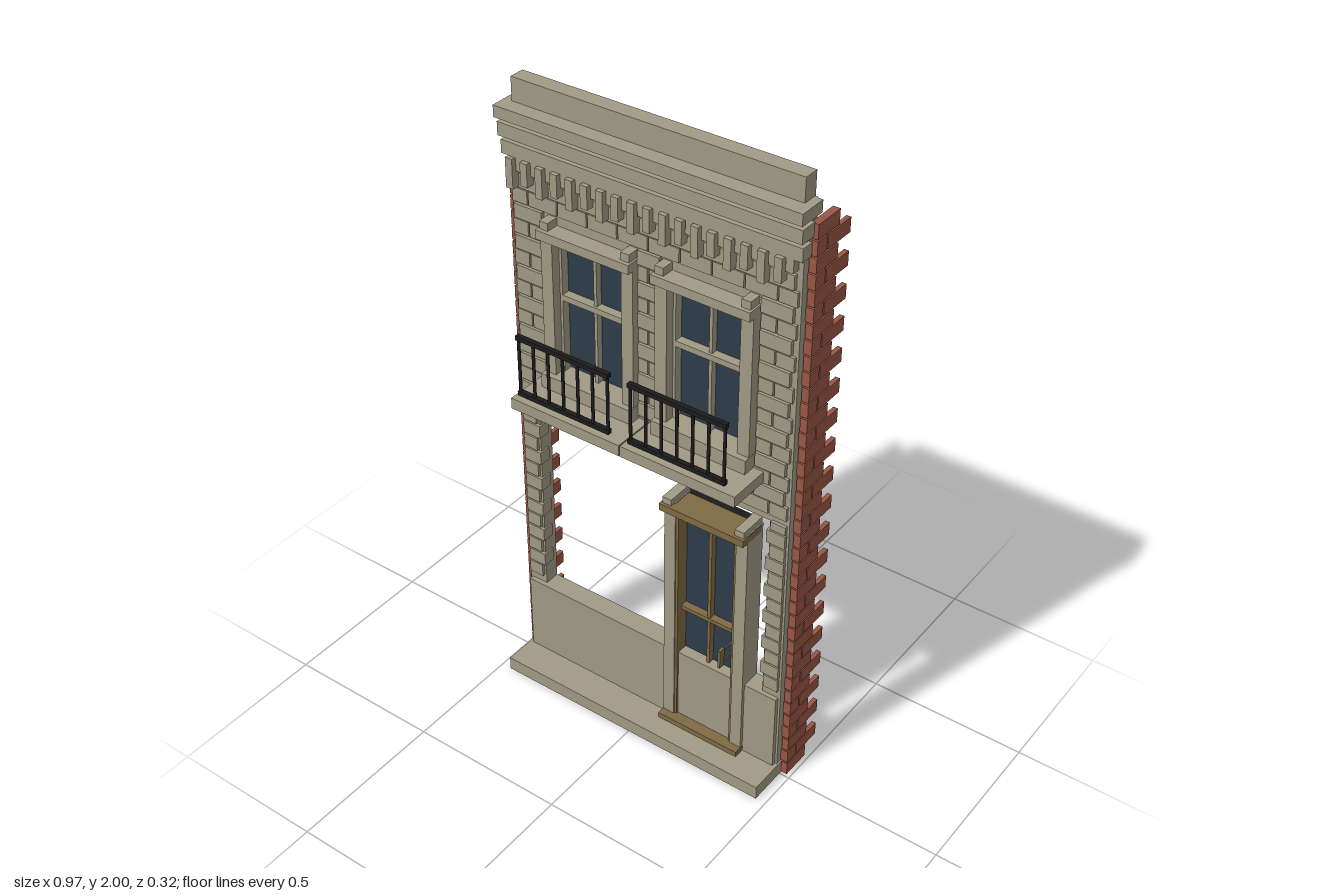
import * as THREE from 'three';

const mat = (name, color) => {
  const m = new THREE.MeshStandardMaterial({ color });
  m.name = name;
  return m;
};

export function createModel() {
  const stone = mat('stone', 0xa09a85), brick = mat('brick', 0x985645), wood = mat('wood', 0x806a45);
  const glass = mat('glass', 0x2d3b48), iron = mat('black iron', 0x1c1c1c);
  const root = new THREE.Group();
  root.name = 'townhouseFacade';

  const group = (name, x = 0) => {
    const g = new THREE.Group();
    g.name = name;
    g.position.x = x;
    root.add(g);
    return g;
  };
  // Box given by its limits on each axis
  const box = (parent, name, m, x0, x1, y0, y1, z0, z1) => {
    const mesh = new THREE.Mesh(new THREE.BoxGeometry(x1 - x0, y1 - y0, z1 - z0), m);
    mesh.position.set((x0 + x1) / 2, (y0 + y1) / 2, (z0 + z1) / 2);
    mesh.name = name;
    parent.add(mesh);
    return mesh;
  };
  const rect = (S, x0, x1, y0, y1) => new S([[x0, y0], [x1, y0], [x1, y1], [x0, y1]].map(p => new THREE.Vector2(...p)));

  // Wall with shopfront and window openings
  const shape = rect(THREE.Shape, -0.462, 0.462, 0, 1.93);
  shape.holes.push(rect(THREE.Path, -0.4, 0.4, 0.31, 0.94));
  for (const x of [-0.19, 0.19]) shape.holes.push(rect(THREE.Path, x - 0.12, x + 0.12, 1.13, 1.58));
  const wall = new THREE.Mesh(new THREE.ExtrudeGeometry(shape, { depth: 0.05, bevelEnabled: false }), stone);
  wall.position.z = -0.04;
  wall.name = 'wall';
  root.add(wall);

  // Plinth, step, parapet and cornice courses
  const trim = group('trim');
  box(trim, 'plinth', stone, -0.455, 0.455, 0.04, 0.31, 0, 0.024);
  box(trim, 'step', stone, -0.467, 0.467, 0, 0.045, -0.03, 0.126);
  box(trim, 'parapet', stone, -0.453, 0.453, 1.92, 2, -0.042, 0.006);
  box(trim, 'cornice', stone, -0.478, 0.478, 1.895, 1.93, -0.036, 0.053);
  box(trim, 'cornice', stone, -0.455, 0.455, 1.82, 1.9, 0, 0.02);
  box(trim, 'cornice', stone, -0.475, 0.475, 1.84, 1.88, -0.01, 0.044);
  box(trim, 'cornice', stone, -0.473, 0.473, 1.785, 1.825, -0.005, 0.035);

  // Alternating long and short brackets under the cornice
  const brackets = group('brackets');
  for (let i = 0; i < 36; i++) {
    const x = -0.45 + i * 0.025, long = i % 2 === 0;
    box(brackets, 'bracket', stone, x, x + 0.023, long ? (i % 4 ? 1.715 : 1.695) : 1.745, 1.785, 0, long ? 0.048 : 0.034);
  }

  // Facing stones in running bond, clipped around the openings
  const stones = group('facingStones');
  const pitch = 0.0482, gap = 0.005;
  const course = (row, a, b) => {
    const y = row * pitch, step = 0.1;
    for (let x = -0.5 - (row % 2) * 0.05; x < b; x += step) {
      const x0 = Math.max(x, a), x1 = Math.min(x + step, b) - gap;
      if (x1 - x0 > 0.012) box(stones, 'stone', stone, x0, x1, y + gap / 2, y + pitch - gap / 2, 0, 0.019 + (row % 2) * 0.003);
    }
  };
  for (let row = 7; row < 36; row++) {
    if (row < 20) {
      // Quoins beside the shopfront
      const w = row % 2 ? 0.048 : 0.06, y0 = row * pitch + gap / 2, y1 = y0 + pitch - gap;
      if (row > 6) {
        const bottom = Math.max(y0, 0.312), top = Math.min(y1, 0.945);
        box(stones, 'quoin', stone, -0.455, -0.455 + w, bottom, top, -0.02, 0.02);
        box(stones, 'quoin', stone, 0.455 - w, 0.455, bottom, top, -0.02, 0.02);
      }
    } else if (row > 22 && row < 34) {
      course(row, -0.455, -0.345);
      course(row, -0.035, 0.04);
      course(row, 0.35, 0.46);
    } else course(row, -0.455, 0.46);
  }

  // Toothed brick returns on both sides
  const returns = group('brickReturns');
  for (const s of [-1, 1]) for (let row = 0; row < 39; row++) {
    const y0 = row * pitch + 0.002, y1 = y0 + pitch - 0.005;
    const x0 = s > 0 ? 0.463 : -0.487, x1 = x0 + 0.024;
    const bx0 = s > 0 ? 0.473 : -0.487, bx1 = bx0 + 0.014;
    if (row % 2) {
      box(returns, 'brick', brick, x0, x1, y0, y1, -0.052, -0.008);
      box(returns, 'brick', brick, bx0, bx1, y0, y1, -0.16, -0.057);
    } else box(returns, 'brick', brick, bx0 - (s > 0 ? 0.008 : 0), bx1 + (s > 0 ? 0 : 0.008), y0, y1, -0.106, -0.008);
  }

  // Windows with balcony slabs and railings
  for (const cx of [-0.19, 0.19]) {
    const w = group('window', cx);
    box(w, 'pane', glass, -0.12, 0.12, 1.125, 1.585, -0.03, -0.015);
    box(w, 'backPanel', iron, -0.134, 0.134, 1.115, 1.585, -0.055, -0.031);
    for (const s of [-1, 1]) {
      const j = s * 0.135;
      box(w, 'jamb', stone, j - 0.019, j + 0.019, 1.1, 1.6, -0.02, 0.042);
      box(w, 'headCap', stone, j - 0.014, j + 0.014, 1.6, 1.632, 0, 0.05);
      box(w, 'sashStile', stone, s * 0.114 - 0.006, s * 0.114 + 0.006, 1.13, 1.58, -0.02, 0.012);
    }
    box(w, 'head', stone, -0.155, 0.155, 1.58, 1.608, -0.02, 0.062);
    box(w, 'sill', stone, -0.155, 0.155, 1.1, 1.145, -0.02, 0.06);
    box(w, 'meetingRail', stone, -0.116, 0.116, 1.378, 1.396, -0.02, 0.012);
    box(w, 'muntin', stone, -0.005, 0.005, 1.13, 1.58, -0.02, 0.005);
    box(w, 'balconySlab', stone, -0.188, 0.188, 1.065, 1.1, -0.083, 0.155);

    const rail = group('railing', cx);
    for (const y of [1.132, 1.315]) box(rail, 'rail', iron, -0.158, 0.158, y - 0.007, y + 0.007, 0.145, 0.16);
    for (let i = 0; i < 7; i++) {
      const bar = new THREE.Mesh(new THREE.CylinderGeometry(0.0048, 0.0048, 0.19, 8), iron);
      bar.position.set(-0.152 + i * 0.0507, 1.224, 0.153);
      bar.name = 'bar';
      rail.add(bar);
    }
  }

  // Door
  const d = group('door', 0.206);
  box(d, 'pane', glass, -0.105, 0.105, 0.3, 0.86, -0.03, -0.012);
  box(d, 'backPanel', iron, -0.122, 0.122, 0.035, 0.87, -0.058, -0.031);
  for (const s of [-1, 1]) {
    const j = s * 0.122;
    box(d, 'jamb', stone, j - 0.019, j + 0.019, 0.06, 0.876, -0.04, 0.035);
    box(d, 'headCap', stone, j - 0.015, j + 0.015, 0.87, 0.893, -0.04, 0.05);
    box(d, 'stile', wood, s * 0.1 - 0.005, s * 0.1 + 0.005, 0.06, 0.86, -0.02, 0.031);
  }
  box(d, 'lintel', wood, -0.142, 0.142, 0.85, 0.873, -0.03, 0.06);
  box(d, 'threshold', wood, -0.142, 0.142, 0.046, 0.064, 0, 0.06);
  box(d, 'rail', wood, -0.1, 0.1, 0.473, 0.486, -0.02, 0.012);
  box(d, 'muntin', wood, -0.005, 0.005, 0.31, 0.855, -0.02, 0.008);
  box(d, 'handle', wood, 0.077, 0.085, 0.38, 0.445, 0.05, 0.072);
  for (const y of [0.39, 0.43]) box(d, 'handlePost', wood, 0.079, 0.083, y, y + 0.006, -0.015, 0.052);
  return root;
}
